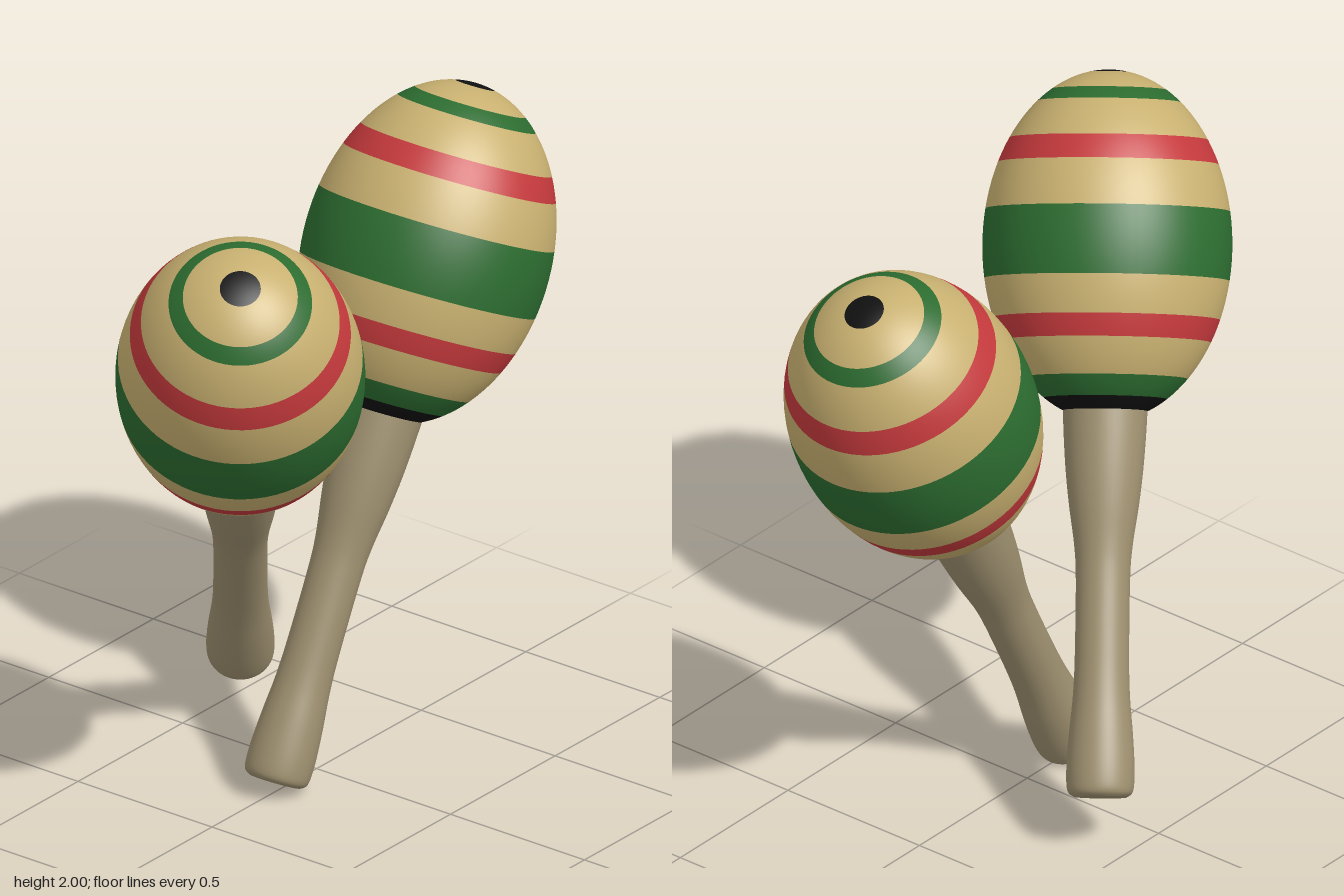
import * as THREE from 'three';

const R = 0.368, L = 0.518, MID = 1.626; // head radius, half length, centre height on the axis

const mat = (color) => new THREE.MeshStandardMaterial({ color });
const tan = mat(0xc8b070), wood = mat(0x9c8e6e), green = mat(0x2c6c30), red = mat(0xc4393c), black = mat(0x101010);

// Painted zones of the head, from the tip down: [name, material, lower end along the axis]
const zones = [
  ['tipSpot', black, 2.137],
  ['tipPaint', tan, 2.086],
  ['upperGreenRing', green, 2.05],
  ['upperPaint', tan, 1.94],
  ['upperRedBand', red, 1.868],
  ['shoulderPaint', tan, 1.73],
  ['wideGreenBand', green, 1.525],
  ['bellyPaint', tan, 1.41],
  ['lowerRedBand', red, 1.343],
  ['lowerPaint', tan, 1.235],
  ['lowerGreenBand', green, 1.175],
  ['blackCollar', black, 1.135],
];

function makeHead() {
  const head = new THREE.Group();
  head.name = 'head';
  let from = 0;
  for (const [name, material, end] of zones) {
    const to = Math.acos((end - MID) / L);
    const rows = Math.max(2, Math.ceil((to - from) / 0.06));
    const geo = new THREE.SphereGeometry(1, 72, rows, 0, Math.PI * 2, from, to - from);
    geo.scale(R, L, R);
    const mesh = new THREE.Mesh(geo, material);
    mesh.name = name;
    mesh.position.y = MID;
    head.add(mesh);
    from = to;
  }
  return head;
}

function makeHandle() {
  // Smooth grip: rounded butt, slim waist, flare into the head
  const curve = new THREE.SplineCurve([
    [0.078, 0], [0.094, 0.012], [0.1, 0.04], [0.1, 0.1], [0.094, 0.19], [0.084, 0.3], [0.08, 0.42],
    [0.08, 0.64], [0.086, 0.74], [0.103, 0.86], [0.114, 0.96], [0.121, 1.06], [0.126, 1.17],
  ].map(([r, y]) => new THREE.Vector2(r, y)));
  const side = new THREE.Mesh(new THREE.LatheGeometry(curve.getPoints(60), 48), wood);
  side.name = 'grip';
  const butt = new THREE.Mesh(new THREE.CircleGeometry(0.078, 48), wood);
  butt.name = 'buttEnd';
  butt.rotation.x = Math.PI / 2;
  const handle = new THREE.Group();
  handle.name = 'handle';
  handle.add(side, butt);
  return handle;
}

// A shaker standing at the butt point and leaning towards the tip point
function makeShaker(name, butt, tip) {
  const shaker = new THREE.Group();
  shaker.name = name;
  shaker.add(makeHandle(), makeHead());
  const dir = tip.clone().sub(butt).normalize();
  shaker.quaternion.setFromUnitVectors(new THREE.Vector3(0, 1, 0), dir);
  shaker.position.copy(butt);
  return shaker;
}

export function createModel() {
  const model = new THREE.Group();
  model.name = 'shakerPair';
  model.add(
    makeShaker('backShaker', new THREE.Vector3(0, 0.038, 0.2), new THREE.Vector3(0, 1.95, -0.757)),
    makeShaker('frontShaker', new THREE.Vector3(-0.425, 0.182, -0.18), new THREE.Vector3(0.305, 1.945, 0.755)),
  );
  return model;
}
